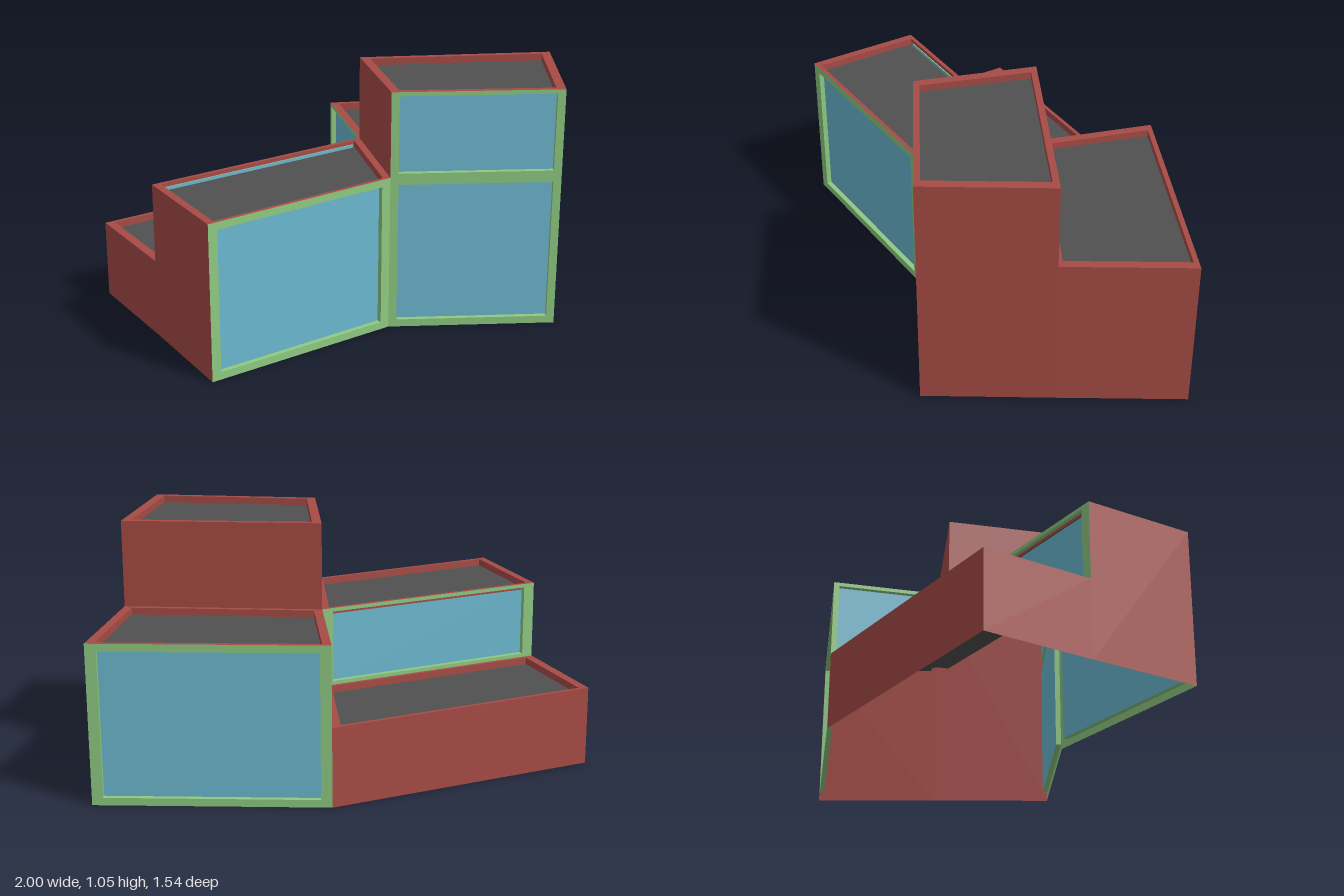
import * as THREE from 'three';

// Plan points [x, z] of the four joined blocks
const P = {
  a: [-1, -0.1], b: [0.03, -0.7], c: [1, -0.773],
  d: [-0.76, 0.33], e: [0.13, -0.195], f: [0.97, -0.232],
  g: [-0.525, 0.768], h: [0.222, 0.31], i: [0.938, 0.31],
};
const LOW = 0.342, MID = 0.684, HIGH = 1.055;

export function createModel() {
  const group = new THREE.Group();
  const material = (name, color) => {
    const m = new THREE.MeshStandardMaterial({ color, side: THREE.DoubleSide });
    m.name = name;
    return m;
  };
  const red = material('brick red', 0xa64b45);
  const green = material('frame green', 0x8ec981);
  const glass = material('glass blue', 0x6cb8d0);
  const grey = material('roof grey', 0x505050);

  // Mesh from a list of four-cornered faces, counter-clockwise from outside
  function addQuads(parent, name, quads, mat) {
    const points = quads.flatMap(([p, q, r, s]) => [p, q, r, p, r, s]);
    const geometry = new THREE.BufferGeometry().setFromPoints(points);
    geometry.computeVertexNormals();
    const mesh = new THREE.Mesh(geometry, mat);
    mesh.name = name;
    parent.add(mesh);
  }

  // Flat border, short reveal and a sunken pane
  function addPanel(name, corners, scale, depth, borderMat, paneMat) {
    const panel = new THREE.Group();
    panel.name = name;
    const centre = new THREE.Vector3();
    corners.forEach((p) => centre.addScaledVector(p, 0.25));
    const inward = new THREE.Vector3().crossVectors(
      corners[2].clone().sub(corners[0]), corners[3].clone().sub(corners[1]),
    ).normalize().multiplyScalar(-depth);
    const inner = corners.map((p) => centre.clone().lerp(p, scale));
    const sunk = inner.map((p) => p.clone().add(inward));
    const border = [];
    for (let k = 0; k < 4; k++) {
      const n = (k + 1) % 4;
      border.push([corners[k], corners[n], inner[n], inner[k]]);
      border.push([inner[k], inner[n], sunk[n], sunk[k]]);
    }
    addQuads(panel, name + 'Border', border, borderMat);
    addQuads(panel, name + 'Pane', [sunk], paneMat);
    group.add(panel);
  }

  const at = (key, y) => new THREE.Vector3(P[key][0], y, P[key][1]);
  const upright = (from, to, y0, y1) => [at(from, y0), at(to, y0), at(to, y1), at(from, y1)];

  // Plain walls
  for (const [name, from, to, y0, y1] of [
    ['lowBackWall', 'b', 'a', 0, LOW],
    ['lowSideWall', 'a', 'd', 0, LOW],
    ['frontBlockSideWall', 'd', 'g', 0, MID],
    ['towerOuterWall', 'i', 'f', 0, HIGH],
    ['backBlockOuterWall', 'f', 'c', 0, MID],
    ['towerBackWall', 'f', 'e', MID, HIGH],
    ['towerInnerWall', 'e', 'h', MID, HIGH],
  ]) addQuads(group, name, [upright(from, to, y0, y1)], red);

  // Windows
  for (const [name, from, to, y0, y1] of [
    ['frontWindow', 'g', 'h', 0, MID],
    ['towerLowerWindow', 'h', 'i', 0, MID],
    ['towerUpperWindow', 'h', 'i', MID, HIGH],
    ['backWindow', 'c', 'b', 0, MID],
    ['terraceLongWindow', 'e', 'd', LOW, MID],
    ['terraceShortWindow', 'b', 'e', LOW, MID],
  ]) addPanel(name, upright(from, to, y0, y1), 0.905, 0.022, green, glass);

  // Roofs sunk inside their parapets
  for (const [name, keys, y, scale] of [
    ['lowRoof', 'deba', LOW, 0.93],
    ['frontRoof', 'ghed', MID, 0.93],
    ['backRoof', 'efcb', MID, 0.92],
    ['towerRoof', 'hife', HIGH, 0.9],
  ]) addPanel(name, [...keys].map((k) => at(k, y)), scale, 0.03, red, grey);

  return group;
}
